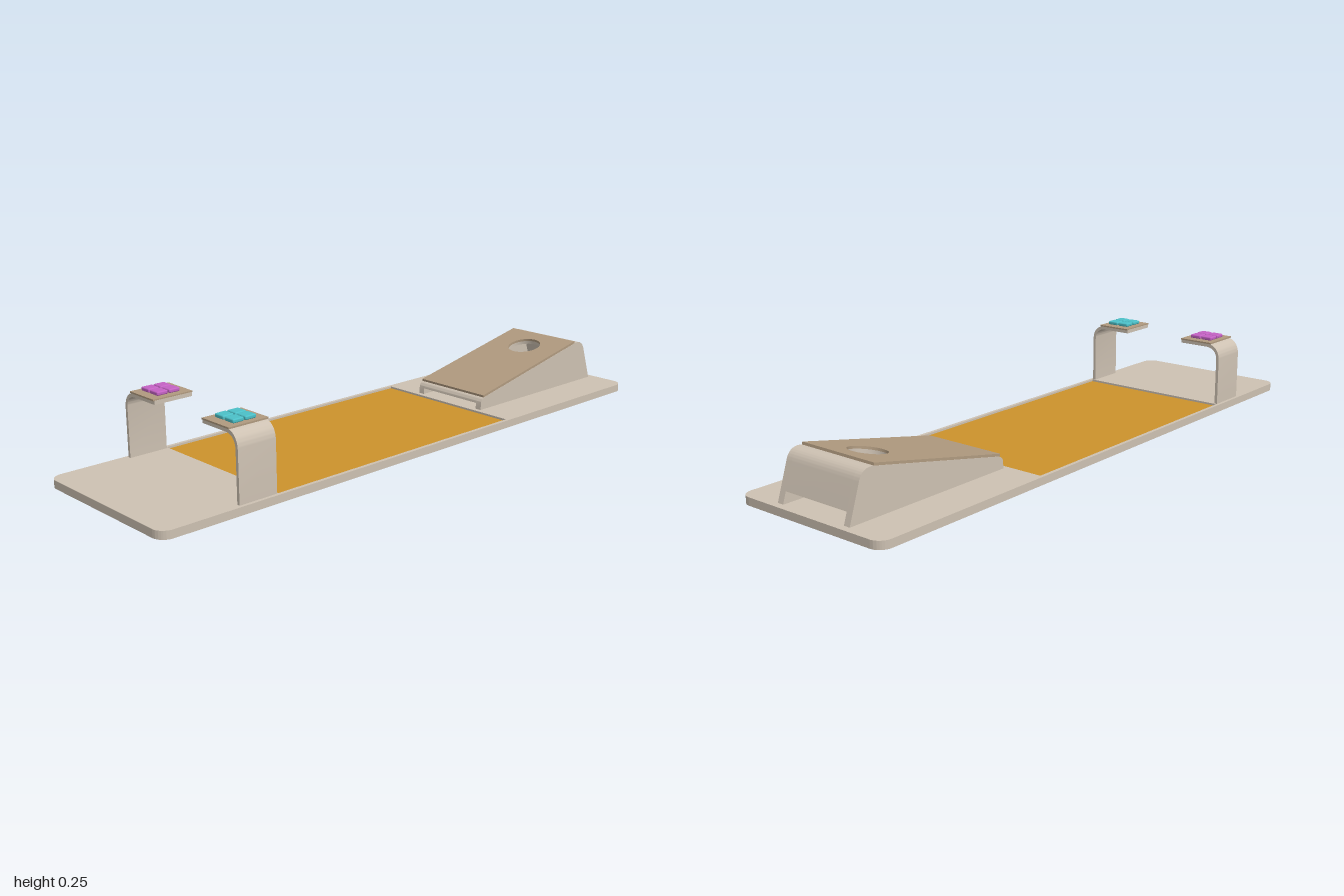
import * as THREE from 'three';
import { toCreasedNormals } from 'three/addons/utils/BufferGeometryUtils.js';
import { RoundedBoxGeometry } from 'three/addons/geometries/RoundedBoxGeometry.js';

const mat = (color) => new THREE.MeshStandardMaterial({ color });
const tan = mat(0xcdc1b2), brown = mat(0xb09a7f), amber = mat(0xcc922c);
const teal = mat(0x4cc0c8), magenta = mat(0xc462c4);

function add(parent, name, geometry, material, x = 0, y = 0, z = 0) {
  const mesh = new THREE.Mesh(geometry, material);
  mesh.name = name;
  mesh.position.set(x, y, z);
  parent.add(mesh);
  return mesh;
}

const extrude = (shape, depth) => toCreasedNormals(
  new THREE.ExtrudeGeometry(shape, { depth, bevelEnabled: false, curveSegments: 16 }), 0.6);

// Flat slab: the shape lies in x/z and rises by its thickness
const slab = (shape, depth) => extrude(shape, depth).rotateX(-Math.PI / 2);

function rectangle(x0, x1, halfWidth, r = 0) {
  const s = new THREE.Shape(), w = halfWidth;
  s.moveTo(x0 + r, -w).lineTo(x1 - r, -w);
  if (r) s.absarc(x1 - r, -w + r, r, -Math.PI / 2, 0);
  s.lineTo(x1, w - r);
  if (r) s.absarc(x1 - r, w - r, r, 0, Math.PI / 2);
  s.lineTo(x0 + r, w);
  if (r) s.absarc(x0 + r, w - r, r, Math.PI / 2, Math.PI);
  s.lineTo(x0, -w + r);
  if (r) s.absarc(x0 + r, -w + r, r, Math.PI, Math.PI * 1.5);
  return s;
}

// Bent bracket carrying a pad with four keys
function makeControl(name, side, keyMaterial) {
  const g = new THREE.Group();
  g.name = name;
  const outer = 0.269, inner = 0.259, top = 0.234, under = 0.222, bend = 0.21;
  const s = new THREE.Shape();
  s.moveTo(outer, 0.024).lineTo(outer, bend - 0.03);
  s.bezierCurveTo(outer, 0.214, 0.248, top, 0.217, top);
  s.lineTo(0.115, top).lineTo(0.115, under).lineTo(0.217, under);
  s.bezierCurveTo(0.242, under, inner, 0.208, inner, bend - 0.03);
  s.lineTo(inner, 0.024);
  const bracket = extrude(s, 0.13).translate(0, 0, -0.065).rotateY(-Math.PI / 2);
  const mount = new THREE.Group();
  mount.name = 'bracketMount';
  mount.position.x = -0.675;
  mount.rotation.y = side > 0 ? 0 : Math.PI;
  g.add(mount);
  add(mount, 'bracket', bracket, tan);
  add(mount, 'keyPad', new THREE.BoxGeometry(0.136, 0.005, 0.12), brown, 0, 0.2355, 0.176);
  for (const dx of [-0.021, 0.021])
    for (const dz of [-0.022, 0.022])
      add(mount, 'key', new RoundedBoxGeometry(0.038, 0.012, 0.039, 3, 0.004),
        keyMaterial, dx, 0.244, 0.178 + dz);
  return g;
}

// Hollow wedge with a sloping lid, a round hole and a low passage underneath
function makeWedge() {
  const g = new THREE.Group();
  g.name = 'wedge';
  const x0 = 0.404, y0 = 0.068, x1 = 0.885, y1 = 0.168;

  // side walls
  const side = new THREE.Shape();
  side.moveTo(0.377, 0.024).lineTo(0.38, 0.052);
  side.quadraticCurveTo(0.384, 0.064, x0, y0);
  side.lineTo(x1, y1);
  side.bezierCurveTo(0.915, 0.174, 0.932, 0.162, 0.94, 0.138);
  side.lineTo(0.978, 0.024);
  for (const z of [-0.143, 0.121])
    add(g, 'sideWall', extrude(side, 0.022), tan, 0, 0, z);

  // curved high end wall
  const high = new THREE.Shape();
  high.moveTo(x1, y1);
  high.bezierCurveTo(0.915, 0.174, 0.932, 0.162, 0.94, 0.138);
  high.lineTo(0.966, 0.06).lineTo(0.954, 0.06).lineTo(0.929, 0.135);
  high.bezierCurveTo(0.922, 0.153, 0.91, 0.161, 0.887, 0.157);
  add(g, 'highEndWall', extrude(high, 0.242), tan, 0, 0, -0.121);

  // low end lip
  const low = new THREE.Shape();
  low.moveTo(0.379, 0.045).lineTo(0.38, 0.052);
  low.quadraticCurveTo(0.384, 0.064, x0, y0);
  low.lineTo(0.408, 0.057).quadraticCurveTo(0.393, 0.054, 0.391, 0.045);
  add(g, 'lowEndLip', extrude(low, 0.242), tan, 0, 0, -0.121);

  // sloping deck and lid, both pierced
  const slope = new THREE.Group();
  slope.name = 'slope';
  slope.position.set(x0, y0, 0);
  slope.rotation.z = Math.atan2(y1 - y0, x1 - x0);
  g.add(slope);
  const length = Math.hypot(x1 - x0, y1 - y0);
  const pierced = (from, halfWidth) => {
    const s = rectangle(from, length, halfWidth);
    s.holes.push(new THREE.Path().absarc(0.381, 0, 0.058, 0, Math.PI * 2, true));
    return s;
  };
  add(slope, 'deck', slab(pierced(0, 0.121), 0.011), tan, 0, -0.011, 0);
  add(slope, 'lid', slab(pierced(-0.012, 0.142), 0.008), brown);
  return g;
}

export function createModel() {
  const model = new THREE.Group();
  model.name = 'board';

  // base plate with a rectangular window
  const plate = rectangle(-1, 1, 0.28, 0.04);
  plate.holes.push(rectangle(-0.605, 0.36, 0.268));
  add(model, 'basePlate', slab(plate, 0.025), tan);
  add(model, 'windowPanel', new THREE.BoxGeometry(0.965, 0.018, 0.536), amber, -0.1225, 0.0095, 0);

  model.add(makeControl('leftControl', 1, teal));
  model.add(makeControl('rightControl', -1, magenta));
  model.add(makeWedge());
  return model;
}
